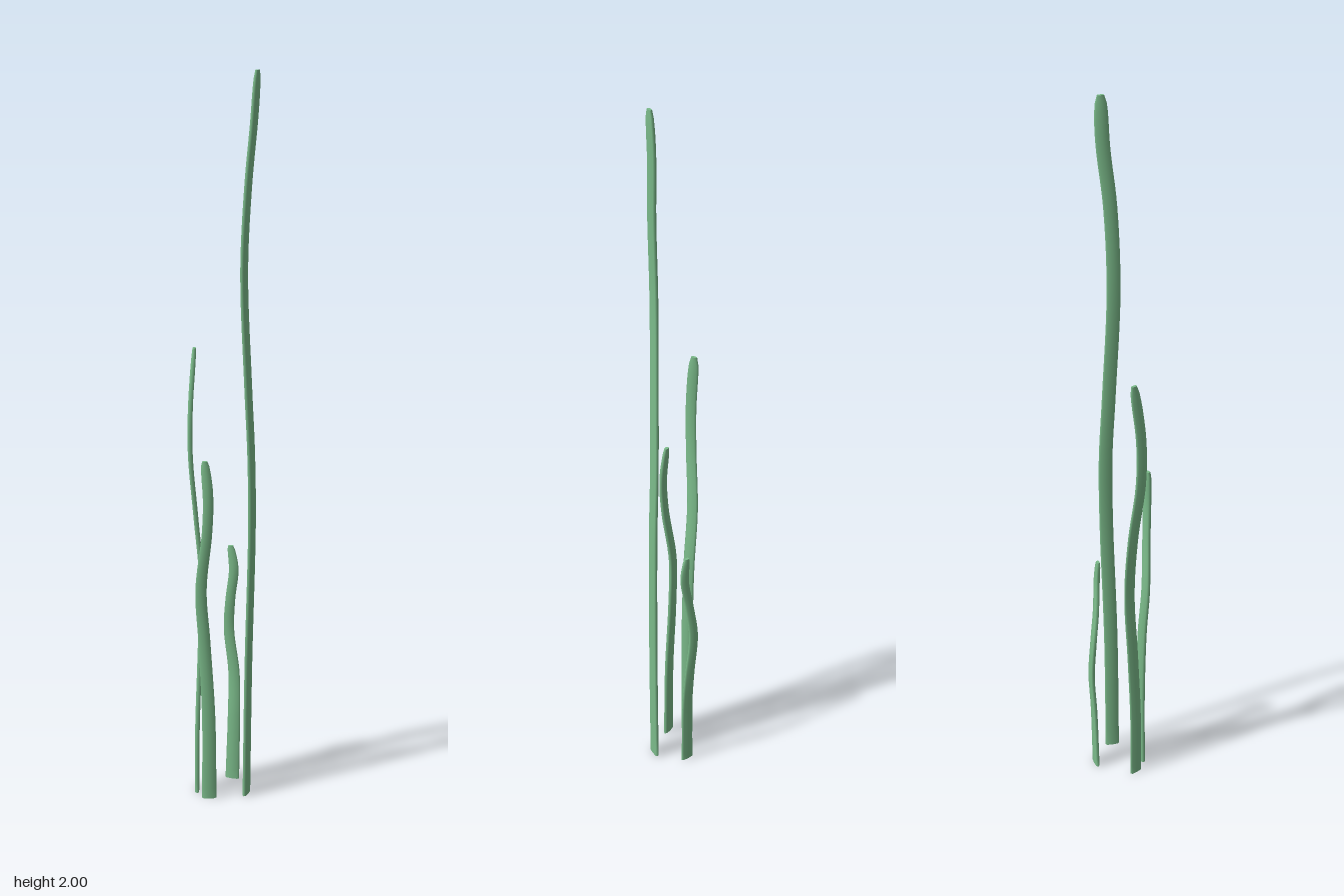
import * as THREE from 'three';

const SIDES = 8, RINGS = 48;
const blunt = v => Math.sign(v) * Math.abs(v) ** 0.7;

// A blade: blunt lens cross-section swept up a wavy spine, tapering at the tip.
// spine: [x, y, z] points; angle: direction of the blade's width about y.
function bladeGeometry(spine, angle, baseWidth, upperWidth, thickness) {
  const curve = new THREE.CatmullRomCurve3(spine.map(p => new THREE.Vector3(...p)), false, 'centripetal');
  const ux = Math.cos(angle), uz = -Math.sin(angle);
  const height = spine[spine.length - 1][1];
  const pos = [], index = [];
  for (let i = 0; i <= RINGS; i++) {
    const c = curve.getPoint(i / RINGS);
    // Broad base, slimmer upper part, quickly rounded tip
    const body = THREE.MathUtils.lerp(baseWidth, upperWidth, Math.min(1, c.y / height / 0.8));
    const d = Math.min(1, (height - c.y) / 0.08);
    const tip = 0.5 + 0.5 * Math.sqrt(Math.max(0, 1 - (1 - d) ** 2));
    for (let j = 0; j < SIDES; j++) {
      const a = j / SIDES * Math.PI * 2;
      const w = blunt(Math.cos(a)) * body * tip / 2;
      const t = blunt(Math.sin(a)) * thickness * (0.4 + 0.6 * tip) / 2;
      pos.push(c.x + ux * w + uz * t, c.y, c.z + uz * w - ux * t);
    }
  }
  for (let i = 0; i < RINGS; i++) {
    for (let j = 0; j < SIDES; j++) {
      const a = i * SIDES + j, b = i * SIDES + (j + 1) % SIDES;
      index.push(a, b, a + SIDES, b, b + SIDES, a + SIDES);
    }
  }
  // End caps with their own vertices so the rims stay sharp
  for (const ring of [0, RINGS]) {
    const start = pos.length / 3;
    for (let k = 0; k < SIDES * 3; k++) pos.push(pos[ring * SIDES * 3 + k]);
    for (let j = 1; j < SIDES - 1; j++) {
      if (ring) index.push(start, start + j, start + j + 1);
      else index.push(start, start + j + 1, start + j);
    }
  }
  const g = new THREE.BufferGeometry();
  g.setAttribute('position', new THREE.Float32BufferAttribute(pos, 3));
  g.setIndex(index);
  g.computeVertexNormals();
  return g;
}

export function createModel() {
  const group = new THREE.Group();
  group.name = 'seaweed';
  const green = new THREE.MeshStandardMaterial({ color: 0x7cbc8b });

  const blades = [
    { name: 'tallBlade', angle: Math.PI / 2 - 0.06, base: 0.041, upper: 0.036, thick: 0.012, spine: [
      [0.071, 0, 0.001], [0.074, 0.4, -0.002], [0.078, 0.8, -0.013], [0.074, 1, -0.015],
      [0.067, 1.2, -0.007], [0.059, 1.5, 0.004], [0.067, 1.72, -0.002], [0.076, 1.88, -0.018], [0.083, 2, -0.021]] },
    { name: 'rightBlade', angle: -1.17, base: 0.041, upper: 0.034, thick: 0.013, spine: [
      [-0.067, 0, 0.034], [-0.065, 0.2, 0.033], [-0.06, 0.42, 0.025], [-0.058, 0.63, 0.015],
      [-0.072, 0.82, 0.02], [-0.079, 1, 0.039], [-0.078, 1.13, 0.039], [-0.074, 1.29, 0.02]] },
    { name: 'frontBlade', angle: 0.42, base: 0.041, upper: 0.028, thick: 0.014, spine: [
      [-0.018, 0, 0.062], [-0.02, 0.25, 0.06], [-0.032, 0.48, 0.061], [-0.038, 0.63, 0.068],
      [-0.017, 0.8, 0.075], [-0.013, 0.9, 0.077], [-0.023, 1, 0.075]] },
    { name: 'backBlade', angle: 0.08, base: 0.041, upper: 0.028, thick: 0.013, spine: [
      [0.001, 0, -0.069], [0.004, 0.2, -0.073], [0.001, 0.33, -0.08], [-0.013, 0.46, -0.077],
      [-0.005, 0.56, -0.067], [0.007, 0.65, -0.061], [-0.001, 0.72, -0.059]] },
  ];
  for (const b of blades) {
    const mesh = new THREE.Mesh(bladeGeometry(b.spine, b.angle, b.base, b.upper, b.thick), green);
    mesh.name = b.name;
    group.add(mesh);
  }
  return group;
}
